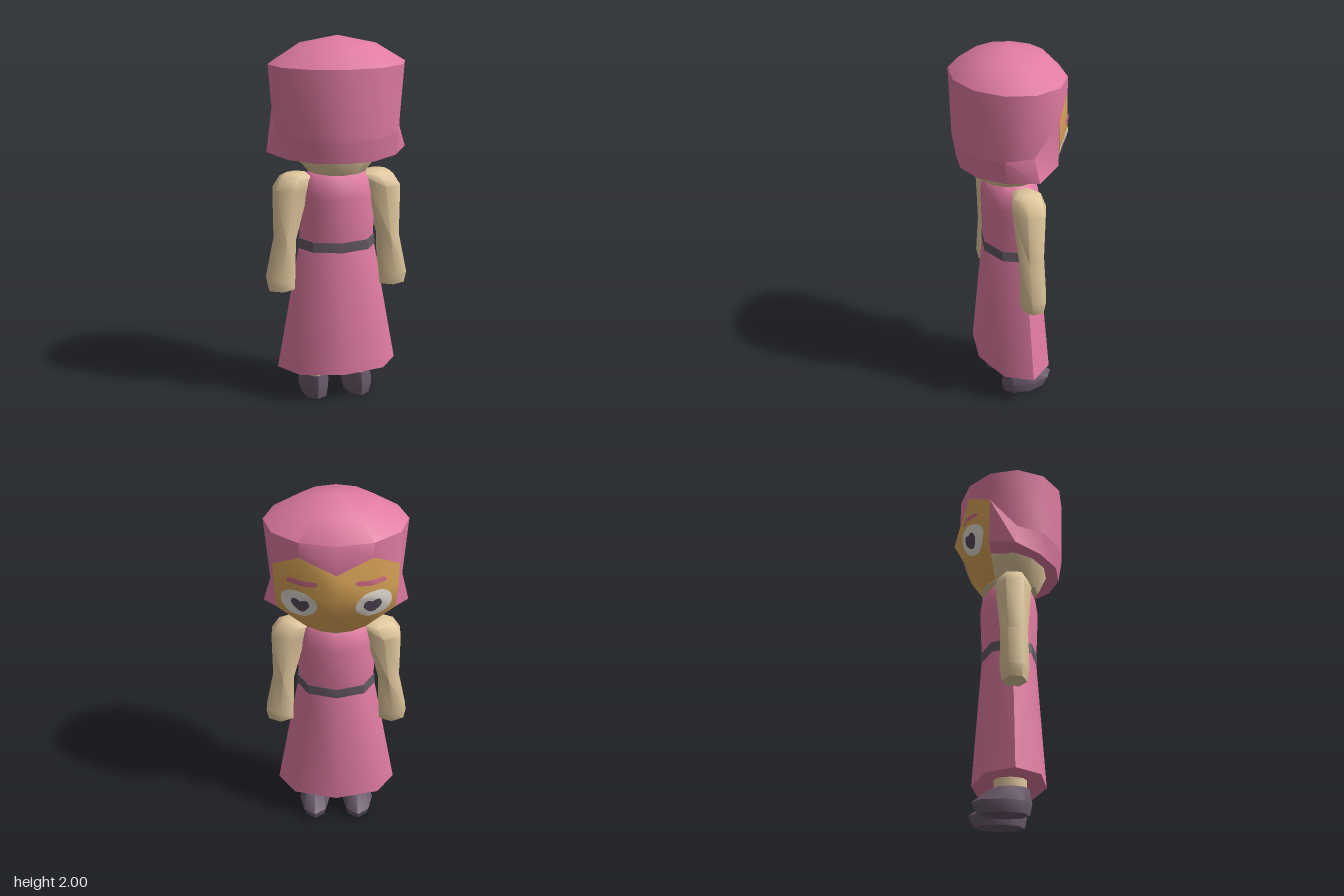
import * as THREE from 'three';
import { toCreasedNormals } from 'three/addons/utils/BufferGeometryUtils.js';

const mat = (name, color, side = THREE.FrontSide) => {
  const m = new THREE.MeshStandardMaterial({ color, side });
  m.name = name;
  return m;
};

// Skin a grid of points; rows run top to bottom, columns run from +z towards +x.
function surface(rows, closed, crease = 0.7) {
  const pos = [];
  const tri = (...pts) => {
    const [a, b, c] = pts.map((p) => new THREE.Vector3(...p));
    if (b.clone().sub(a).cross(c.clone().sub(a)).length() > 1e-9) pts.forEach((p) => pos.push(...p));
  };
  for (let i = 0; i < rows.length - 1; i++) {
    const n = rows[i].length;
    for (let j = 0; j < (closed ? n : n - 1); j++) {
      const k = (j + 1) % n;
      tri(rows[i][j], rows[i + 1][j], rows[i + 1][k]);
      tri(rows[i][j], rows[i + 1][k], rows[i][k]);
    }
  }
  const g = new THREE.BufferGeometry();
  g.setAttribute('position', new THREE.Float32BufferAttribute(pos, 3));
  return toCreasedNormals(g, crease);
}

// Horizontal elliptical ring of n points.
function ring(n, y, rx, rz, cx = 0, cz = 0, phase = 0) {
  return Array.from({ length: n }, (_, i) => {
    const t = phase + (i / n) * Math.PI * 2;
    return [cx + rx * Math.sin(t), y, cz + rz * Math.cos(t)];
  });
}

// Capped loft through rings given as [y, rx, rz, cx, cz].
function loft(n, sections, crease, phase = 0) {
  const cap = ([y, , , cx = 0, cz = 0]) => ring(n, y, 0, 0, cx, cz);
  const rows = sections.map(([y, rx, rz, cx, cz]) => ring(n, y, rx, rz, cx, cz, phase));
  return surface([cap(sections[0]), ...rows, cap(sections[sections.length - 1])], true, crease);
}

const flip = ([x, y, z]) => [-x, y, z];

export function createModel() {
  const model = new THREE.Group();
  const pink = mat('pink cloth and hair', 0xe07ba1, THREE.DoubleSide);
  const skin = mat('pale skin', 0xe0c79c);
  const tan = mat('tan face', 0xdca658, THREE.DoubleSide);
  const shoeDark = mat('dark shoe', 0x68586a);
  const beltDark = mat('dark belt', 0x645863);
  const white = mat('eye white', 0xe4dfd4);
  const pupilDark = mat('pupil', 0x594b5e);
  const browPink = mat('brow pink', 0xcf6c88);

  const add = (name, geometry, material) => {
    const mesh = new THREE.Mesh(geometry, material);
    mesh.name = name;
    model.add(mesh);
    return mesh;
  };

  // Dress and belt
  add('bodice', loft(8, [[1.29, 0.155, 0.11], [1.25, 0.19, 0.145], [1.16, 0.205, 0.158],
    [0.92, 0.205, 0.148]], 0.9), pink);
  add('belt', loft(8, [[0.92, 0.209, 0.15], [0.865, 0.213, 0.15]]), beltDark);
  add('skirt', loft(8, [[0.865, 0.21, 0.147], [0.18, 0.333, 0.193]], 0.9), pink);

  // Arms, legs and shoes
  for (const s of [1, -1]) {
    const side = s > 0 ? 'left' : 'right';
    const arm = [[1.282, 0.055, 0.05, 0.22], [1.262, 0.1, 0.08, 0.215], [1.2, 0.104, 0.096, 0.25],
      [0.92, 0.064, 0.072, 0.285], [0.7, 0.086, 0.076, 0.311], [0.637, 0.078, 0.064, 0.307]];
    add(side + 'Arm', loft(6, arm.map(([y, rx, rz, cx]) => [y, rx, rz, cx * s]), 1.1), skin);
    add(side + 'Leg', loft(8, [[0.3, 0.062, 0.08, 0.122 * s, -0.005],
      [0.12, 0.06, 0.085, 0.122 * s, -0.005]], 0.9), skin);
    add(side + 'Shoe', loft(8, [[0.135, 0.062, 0.094, 0.122 * s, -0.004],
      [0.06, 0.088, 0.152, 0.124 * s, -0.048], [0, 0.074, 0.13, 0.122 * s, -0.038]], 0.75), shoeDark);
  }

  // Neck and underside of the head
  add('headUnderside', loft(12, [[1.56, 0.29, 0.16], [1.4, 0.245, 0.205, 0, 0.005],
    [1.29, 0.155, 0.158]], 0.8), skin);

  // Hair: crown rings, then a hairline that rises over the face
  const hairline = [[0, 1.5, 0.297], [0.172, 1.5, 0.258], [0.297, 1.51, 0.155], [0.337, 1.52, 0.015],
    [0.314, 1.69, -0.132], [0.18, 1.78, -0.237], [0, 1.7, -0.278]];
  const hairlineRing = [...hairline, ...hairline.slice(1, 6).reverse().map(flip)];
  add('hairCrown', surface([ring(12, 2, 0, 0, 0, 0.015), ring(12, 1.955, 0.207, 0.19, 0, 0.01),
    ring(12, 1.86, 0.363, 0.29, 0, 0.015), hairlineRing], true, 0.8), pink);

  // Flared lower hair around the back, turned under to the head
  const around = (half) => [...half.slice(1).reverse().map(flip), ...half];
  const hem = [[0, 1.38, 0.277], [0.15, 1.38, 0.243], [0.285, 1.385, 0.14], [0.375, 1.4, 0]];
  const inner = [[0, 1.395, 0.2], [0.12, 1.395, 0.175], [0.205, 1.4, 0.1], [0.235, 1.41, 0]];
  add('hairFlare', surface([around(hairline.slice(0, 4)), around(hem), around(inner)], false, 0.7), pink);

  // Side locks joining the flare to the face
  const cheek = [0.3, 1.44, -0.135];
  const lock = [[hairline[3], hairline[4]], [hem[3], cheek], [inner[3], [0.24, 1.4, -0.12]]];
  add('leftLock', surface(lock, false, 0.5), pink);
  add('rightLock', surface(lock.map((r) => r.map(flip).reverse()), false, 0.5), pink);

  // Face
  const faceRow = (half) => [...half, ...half.slice(0, 2).reverse().map(flip)];
  const face = add('face', surface([
    hairline.slice(4),
    [[0.312, 1.57, -0.134], [0.18, 1.57, -0.243], [0, 1.57, -0.308]],
    [cheek, [0.165, 1.43, -0.2], [0, 1.43, -0.23]],
    [[0.155, 1.29, -0.088], [0.08, 1.29, -0.137], [0, 1.29, -0.157]],
  ].map(faceRow), false, 1), tan);

  // Thin decal laid on the face; outline(t) gives its edge around the centre
  const caster = new THREE.Raycaster();
  const onFace = (x, y, lift) => {
    caster.set(new THREE.Vector3(x, y, -1), new THREE.Vector3(0, 0, 1));
    const hit = caster.intersectObject(face)[0];
    return [x, y, (hit ? hit.point.z : -0.15) - lift];
  };
  const decal = (name, cx, cy, lift, outline, material) => {
    const rows = [0, 0.25, 0.5, 0.75, 1].map((r) => Array.from({ length: 24 }, (_, j) => {
      const [dx, dy] = outline((j / 24) * Math.PI * 2);
      return onFace(cx - dx * r, cy + dy * r, lift);
    }));
    add(name, surface(rows, true, 1), material);
  };
  const box = (v) => Math.sign(v) * Math.pow(Math.abs(v), 0.35);
  for (const s of [1, -1]) {
    const side = s > 0 ? 'left' : 'right';
    decal(side + 'EyeWhite', 0.186 * s, 1.51, 0.005,
      (t) => [0.092 * Math.cos(t), 0.086 * Math.sin(t)], white);
    decal(side + 'Pupil', 0.18 * s, 1.505, 0.009, (t) => {
      const c = Math.cos(t), d = Math.sin(t);
      return d > 0 ? [0.046 * c, 0.045 * d * (0.65 + 0.7 * Math.abs(c))] : [0.046 * c * (1 + 0.3 * d), 0.045 * d];
    }, pupilDark);
    decal(side + 'Brow', 0.17 * s, 1.645, 0.006,
      (t) => [0.075 * box(Math.cos(t)), 0.014 * box(Math.sin(t)) + 0.006 * s * Math.cos(t)], browPink);
  }
  return model;
}
